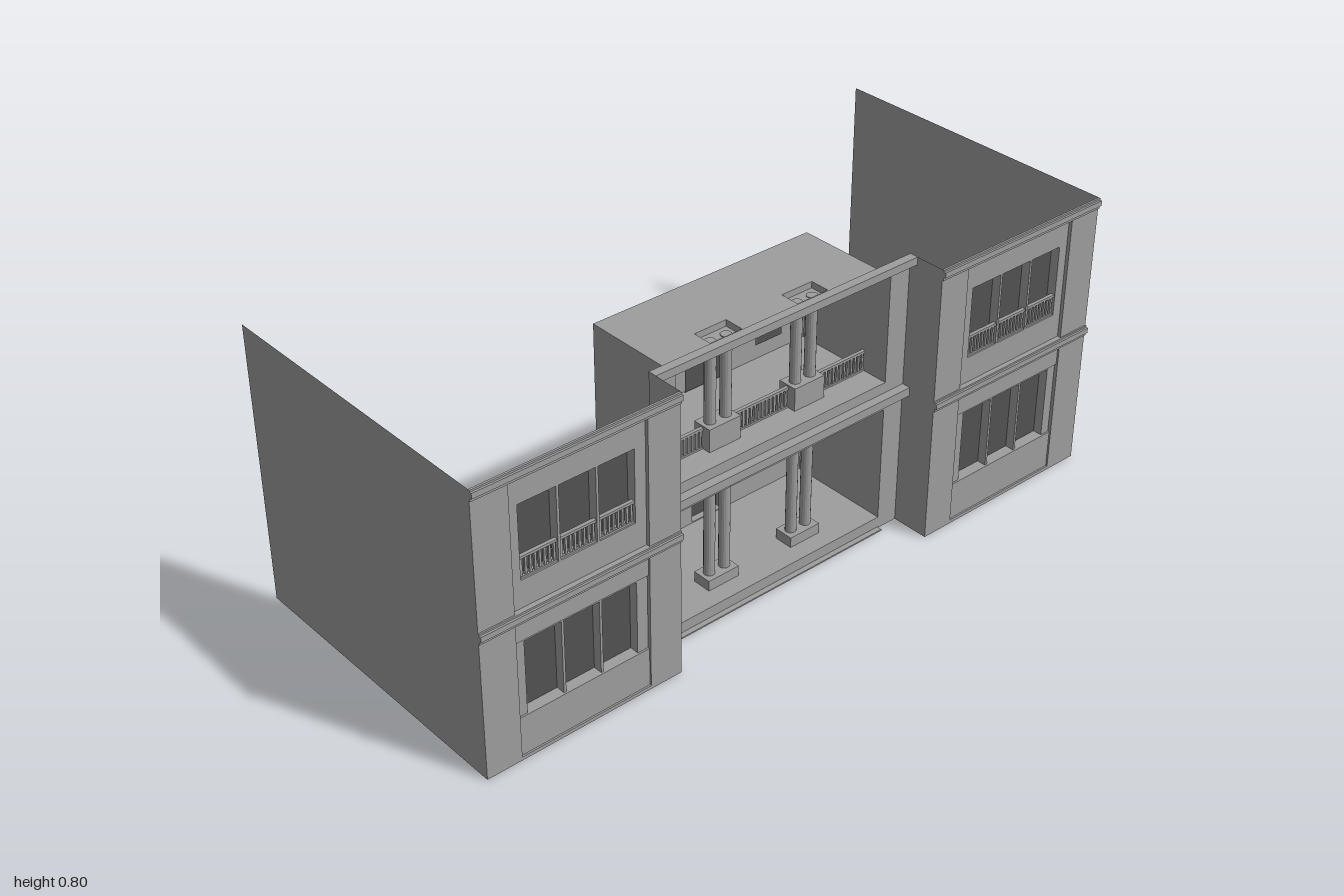
import * as THREE from 'three';

const grey = new THREE.MeshStandardMaterial({ color: 0x9e9e9e, side: THREE.DoubleSide, flatShading: true });
const glass = new THREE.MeshStandardMaterial({ color: 0x525252, side: THREE.DoubleSide });

// Box faces by index in a BoxGeometry
const TOP = 2, FRONT = 4, BACK = 5;

export function createModel() {
  const model = new THREE.Group();

  const add = (name, geometry, material = grey, parent = model) => {
    const mesh = new THREE.Mesh(geometry, material);
    mesh.name = name;
    parent.add(mesh);
    return mesh;
  };

  // Solid box given by its extents
  const box = (name, x0, x1, y0, y1, z0, z1, parent, material) => add(name,
    new THREE.BoxGeometry(x1 - x0, y1 - y0, z1 - z0)
      .translate((x0 + x1) / 2, (y0 + y1) / 2, (z0 + z1) / 2), material, parent);

  // Thin-walled box with the listed faces left open
  const shell = (name, extents, open, parent) => {
    const { geometry } = box(name, ...extents, parent);
    geometry.setIndex(Array.from(geometry.index.array).filter((_, i) => !open.includes(Math.floor(i / 6))));
    geometry.clearGroups();
  };

  const pane = (name, x0, x1, y0, y1, z) => add(name,
    new THREE.PlaneGeometry(x1 - x0, y1 - y0).translate((x0 + x1) / 2, (y0 + y1) / 2, z), glass);

  // Flat sheet with rectangular openings [x0, x1, y0, y1]
  const corners = (x0, x1, y0, y1) => [[x0, y0], [x1, y0], [x1, y1], [x0, y1]].map(p => new THREE.Vector2(...p));
  const sheet = (extents, holes) => {
    const shape = new THREE.Shape(corners(...extents));
    shape.holes = holes.map(h => new THREE.Path(corners(...h).reverse()));
    return new THREE.ShapeGeometry(shape);
  };
  const wall = (name, extents, holes, z, parent) =>
    add(name, sheet(extents, holes).translate(0, 0, z), grey, parent);

  // Handrail, bottom rail and balusters
  const railing = (x0, x1, y0, y1, z, parent) => {
    const group = new THREE.Group();
    group.name = 'railing';
    parent.add(group);
    box('handrail', x0, x1, y1 - 0.007, y1, z - 0.005, z + 0.005, group);
    box('bottomRail', x0, x1, y0, y0 + 0.005, z - 0.004, z + 0.004, group);
    const count = Math.max(2, Math.round((x1 - x0) / 0.013));
    for (let i = 0; i < count; i++) {
      const x = x0 + (i + 0.5) * (x1 - x0) / count;
      box('baluster', x - 0.003, x + 0.003, y0, y1, z - 0.003, z + 0.003, group);
    }
  };

  // Ground slab, following the stepped front
  const plan = new THREE.Shape([
    [-1, -0.44], [-0.42, -0.44], [-0.42, -0.33], [0.42, -0.33],
    [0.42, -0.44], [1, -0.44], [1, 0.45], [-1, 0.45],
  ].map(p => new THREE.Vector2(...p)));
  add('floor', new THREE.ShapeGeometry(plan).rotateX(-Math.PI / 2));

  // Two side wings
  for (const side of [-1, 1]) {
    const wing = new THREE.Group();
    wing.name = side > 0 ? 'leftWing' : 'rightWing';
    model.add(wing);
    const span = (a, b) => side > 0 ? [a, b] : [-b, -a];

    add('sideWall', new THREE.PlaneGeometry(0.89, 0.8).rotateY(side * Math.PI / 2)
      .translate(side, 0.4, -0.005), grey, wing);
    add('innerReturn', new THREE.PlaneGeometry(0.11, 0.8).rotateY(-side * Math.PI / 2)
      .translate(side * 0.42, 0.4, 0.385), grey, wing);

    const panelX = span(0.515, 0.9);
    const panels = [[...panelX, 0.01, 0.39], [...panelX, 0.42, 0.775]];
    wall('wingFront', [...span(0.42, 1), 0, 0.8], panels, 0.44, wing);

    const windows = [[0.547, 0.65], [0.657, 0.76], [0.767, 0.872]];
    const windowHeights = [[0.12, 0.327], [0.495, 0.697]];
    panels.forEach((panel, floor) => {
      const [y0, y1] = windowHeights[floor];
      const openings = windows.map(w => [...span(...w), y0, y1]);
      // Set-back panel: rim and face with three window openings
      shell('panelRim', [...panel, 0.43, 0.44], [FRONT, BACK], wing);
      wall('windowPanel', panel, openings, 0.43, wing);
      for (const o of openings) {
        shell('windowRecess', [...o, 0.395, 0.43], [FRONT], wing);
        box('windowPane', o[0] - 0.003, o[1] + 0.003, y0 - 0.004, y1 + 0.004, 0.398, 0.404, wing, glass);
        if (floor) railing(o[0], o[1], y0, 0.555, 0.422, wing);
      }
    });
    box('windowHeader', ...panelX, 0.335, 0.39, 0.43, 0.435, wing);
    box('windowApron', ...panelX, 0.01, 0.12, 0.43, 0.435, wing);

    // Stepped string course and cornice
    for (const y of [0.39, 0.77]) {
      box('moulding', ...span(0.42, 1), y, y + 0.03, 0.438, 0.444, wing);
      box('mouldingEdge', ...span(0.42, 1), y + 0.01, y + 0.025, 0.438, 0.45, wing);
    }
  }

  // Central front with the two porch openings
  const porchX = [-0.34, 0.355];
  const porches = [[...porchX, 0.035, 0.37], [...porchX, 0.452, 0.76]];
  wall('centralFront', [-0.42, 0.42, 0, 0.8], porches, 0.33);
  box('centralStringCourse', -0.42, 0.42, 0.397, 0.422, 0.33, 0.355);
  box('centralCornice', -0.42, 0.42, 0.778, 0.8, 0.33, 0.355);
  box('step', ...porchX, 0, 0.004, 0.33, 0.345);

  // Lower porch with door and windows projecting to the rear
  const lowerOpenings = [[-0.22, -0.13, 0.092, 0.267], [-0.03, 0.07, 0.038, 0.267], [0.16, 0.257, 0.092, 0.267]];
  shell('lowerPorch', [...porches[0], 0.03, 0.33], [FRONT, BACK]);
  wall('lowerPorchBack', porches[0], lowerOpenings, 0.03);
  lowerOpenings.forEach((o, i) => {
    const name = i === 1 ? 'door' : 'porchWindow';
    shell(name + 'Recess', [...o, -0.006, 0.03], [FRONT]);
    if (i < 2) box(name + 'Pane', o[0] - 0.01, o[1] + 0.01, o[2] - 0.006, o[3] + 0.008, 0.004, 0.011, model, glass);
  });

  // Upper porch, its roof pierced above the column pairs, and its doors
  const columnX = [-0.14, 0.14];
  const roof = [...porchX, -0.33, -0.03];
  shell('upperPorch', [...porches[1], 0.03, 0.33], [FRONT, TOP]);
  add('upperPorchRoof', sheet(roof, columnX.map(x => [x - 0.05, x + 0.05, -0.278, -0.222]))
    .rotateX(-Math.PI / 2).translate(0, 0.76, 0));
  for (const x of [-0.227, 0.224]) pane('upperWindowPane', x - 0.045, x + 0.045, 0.497, 0.717, 0.036);
  pane('upperDoorPane', -0.059, 0.057, 0.454, 0.717, 0.036);
  box('upperDoorSill', -0.059, 0.057, 0.443, 0.452, 0.031, 0.038, model, glass);

  // Paired columns on pedestals, both floors
  porches.forEach(([, , y0, y1], floor) => {
    const pedestalTop = y0 + (floor ? 0.065 : 0.03);
    for (const x of columnX) {
      const pair = new THREE.Group();
      pair.name = 'columnPair';
      model.add(pair);
      box('pedestal', x - 0.05, x + 0.05, y0, pedestalTop, 0.222, 0.278, pair);
      shell('capital', [x - 0.05, x + 0.05, y1 - 0.018, y1, 0.222, 0.278], [TOP], pair);
      for (const dx of [-0.025, 0.025]) {
        const h = y1 - 0.016 - pedestalTop;
        add('column', new THREE.CylinderGeometry(0.015, 0.015, h, 16)
          .translate(x + dx, pedestalTop + h / 2, 0.25), grey, pair);
      }
    }
  });

  // Balcony railing between the pedestals
  for (const [a, b] of [[porchX[0], -0.19], [-0.09, 0.09], [0.19, porchX[1]]])
    railing(a, b, 0.452, 0.512, 0.25, model);

  return model;
}
